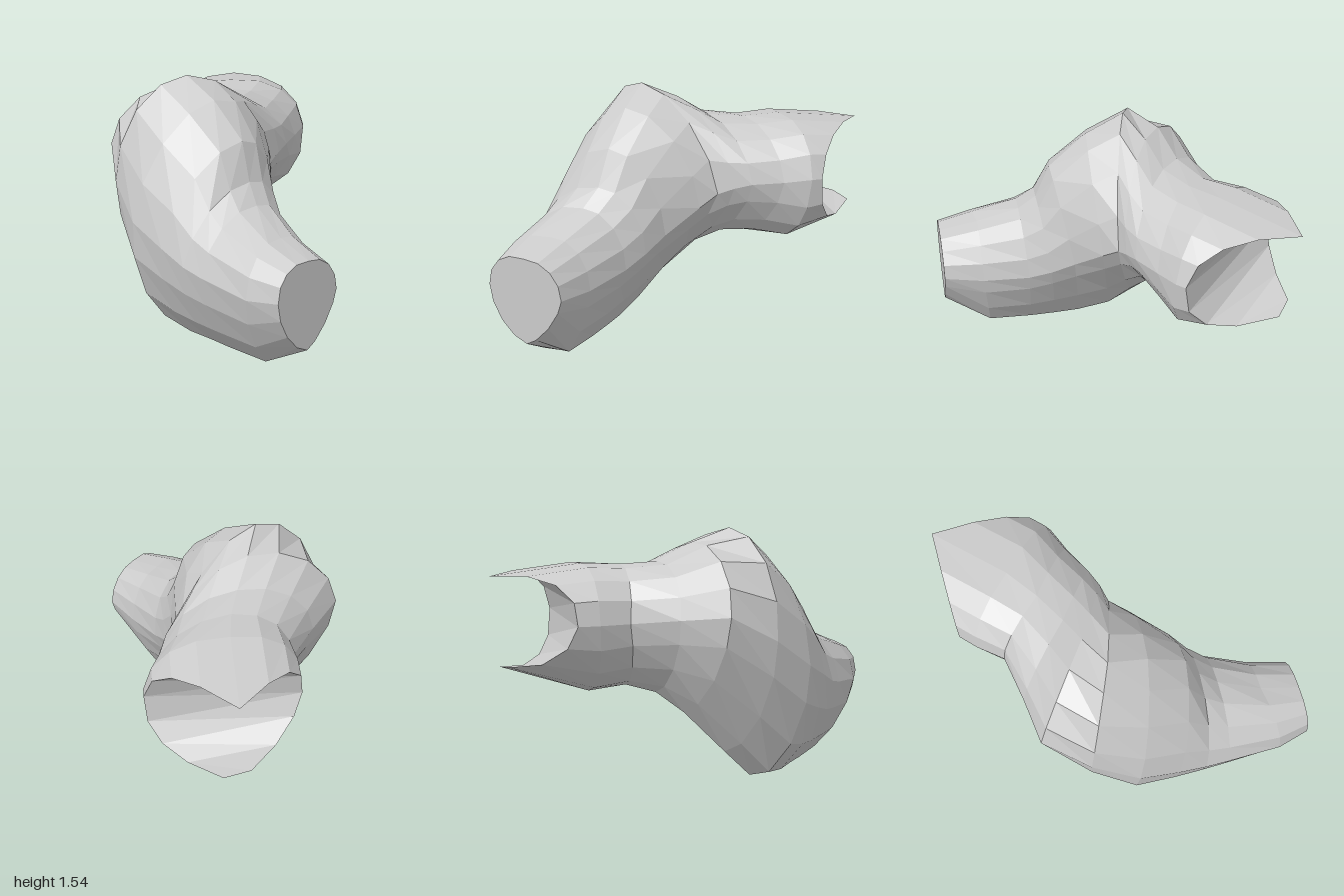
import * as THREE from 'three';

const SIDES = 16;

// Each cross-section: its top, outer, bottom and inner extreme points
const SECTIONS = [
  [[1, .69, .54], [1, .5, .785], [1, .15, .54], [1, .46, .295]],
  [[.75, .755, .5], [.8, .48, .835], [.7, -.06, .48], [.75, .45, .235]],
  [[.48, .87, .42], [.45, .52, .845], [.42, -.07, .47], [.46, .5, .14]],
  [[.37, .98, .37], [.3, .55, .85], [.25, -.07, .46], [.32, .57, .07]],
  [[.28, 1.21, .34], [.12, .62, .855], [.08, -.07, .46], [.18, .66, 0]],
  [[.04, 1.42, .34], [-.14, .72, .85], [-.14, -.03, .46], [.03, .82, -.17]],
  [[-.2, 1.54, .34], [-.42, .9, .745], [-.28, .17, .35], [-.05, .9, -.26]],
  [[-.3, 1.45, .13], [-.68, 1.06, .56], [-.4, .42, .13], [-.075, .94, -.36]],
  [[-.37, 1.335, -.06], [-.715, 1.03, .26], [-.4, .53, -.06], [-.11, .97, -.47]],
  [[-.48, 1.32, -.26], [-.765, 1, -.04], [-.42, .565, -.26], [-.2, .98, -.65]],
  [[-.62, 1.33, -.45], [-.91, 1, -.16], [-.53, .53, -.46], [-.27, 1, -.81]],
];

// Ring through the four extreme points; each quarter has its own fullness,
// pinched around the bend and rounder towards the corner end
function makeRing(points, index) {
  const [top, outer, bottom, inner] = points.map(p => new THREE.Vector3(...p));
  const c = top.clone().add(outer).add(bottom).add(inner).multiplyScalar(0.25);
  const s = index / (SECTIONS.length - 1);
  const bend = Math.sin(Math.PI * s);
  const fullness = [
    0.95 + 0.15 * bend,
    1.1 + 0.15 * bend,
    1.4 - 0.5 * s + 0.55 * bend,
    1 - 0.1 * s + 0.25 * bend,
  ];
  const ring = [];
  for (let i = 0; i < SIDES; i++) {
    const a = (i / SIDES) * Math.PI * 2;
    const co = Math.cos(a), si = Math.sin(a);
    const e = fullness[Math.floor((i * 4) / SIDES)];
    const p = c.clone();
    p.addScaledVector((co >= 0 ? top : bottom).clone().sub(c), Math.abs(co) ** e);
    p.addScaledVector((si >= 0 ? outer : inner).clone().sub(c), Math.abs(si) ** e);
    p.y = Math.max(p.y, 0);
    ring.push(p);
  }
  return ring;
}

// Run the last ring on diagonally until it meets the side or back plane
function extendToCorner(ring) {
  const dx = -0.68, dz = -0.73;
  return ring.map(p => {
    const t = Math.max(0, Math.min((-1 - p.x) / dx, (-0.86 - p.z) / dz));
    const taper = p.y > 1 ? 0.35 : 0.7;
    return new THREE.Vector3(p.x + dx * t, 1 + (p.y - 1) * (1 - taper * t), p.z + dz * t);
  });
}

function meshFrom(name, triangles) {
  const geometry = new THREE.BufferGeometry().setFromPoints(triangles);
  geometry.computeVertexNormals();
  const material = new THREE.MeshStandardMaterial({ color: 0xcccccc, flatShading: true });
  const mesh = new THREE.Mesh(geometry, material);
  mesh.name = name;
  return mesh;
}

export function createModel() {
  const group = new THREE.Group();
  group.name = 'bentTube';

  const rings = SECTIONS.map(makeRing);
  rings.push(extendToCorner(rings[rings.length - 1]));

  // Tube wall
  const wall = [];
  for (let r = 0; r < rings.length - 1; r++) {
    for (let i = 0; i < SIDES; i++) {
      const j = (i + 1) % SIDES;
      const a = rings[r][i], b = rings[r][j], c = rings[r + 1][i], d = rings[r + 1][j];
      wall.push(a, c, b, b, c, d);
    }
  }
  group.add(meshFrom('tubeWall', wall));

  // Flat cap on the side end
  const first = rings[0], flat = [];
  for (let i = 1; i < SIDES - 1; i++) flat.push(first[0], first[i], first[i + 1]);
  group.add(meshFrom('sideCap', flat));

  // Sunken cap on the corner end, bridged straight across from rim to rim
  const last = rings[rings.length - 1], sunken = [];
  for (let i = 0; i < SIDES / 2; i++) {
    const f0 = last[i], f1 = last[i + 1];
    const k0 = last[(SIDES - i) % SIDES], k1 = last[SIDES - i - 1];
    if (i > 0) sunken.push(f0, k0, k1);
    if (i < SIDES / 2 - 1) sunken.push(f0, k1, f1);
  }
  group.add(meshFrom('cornerCap', sunken));

  return group;
}
